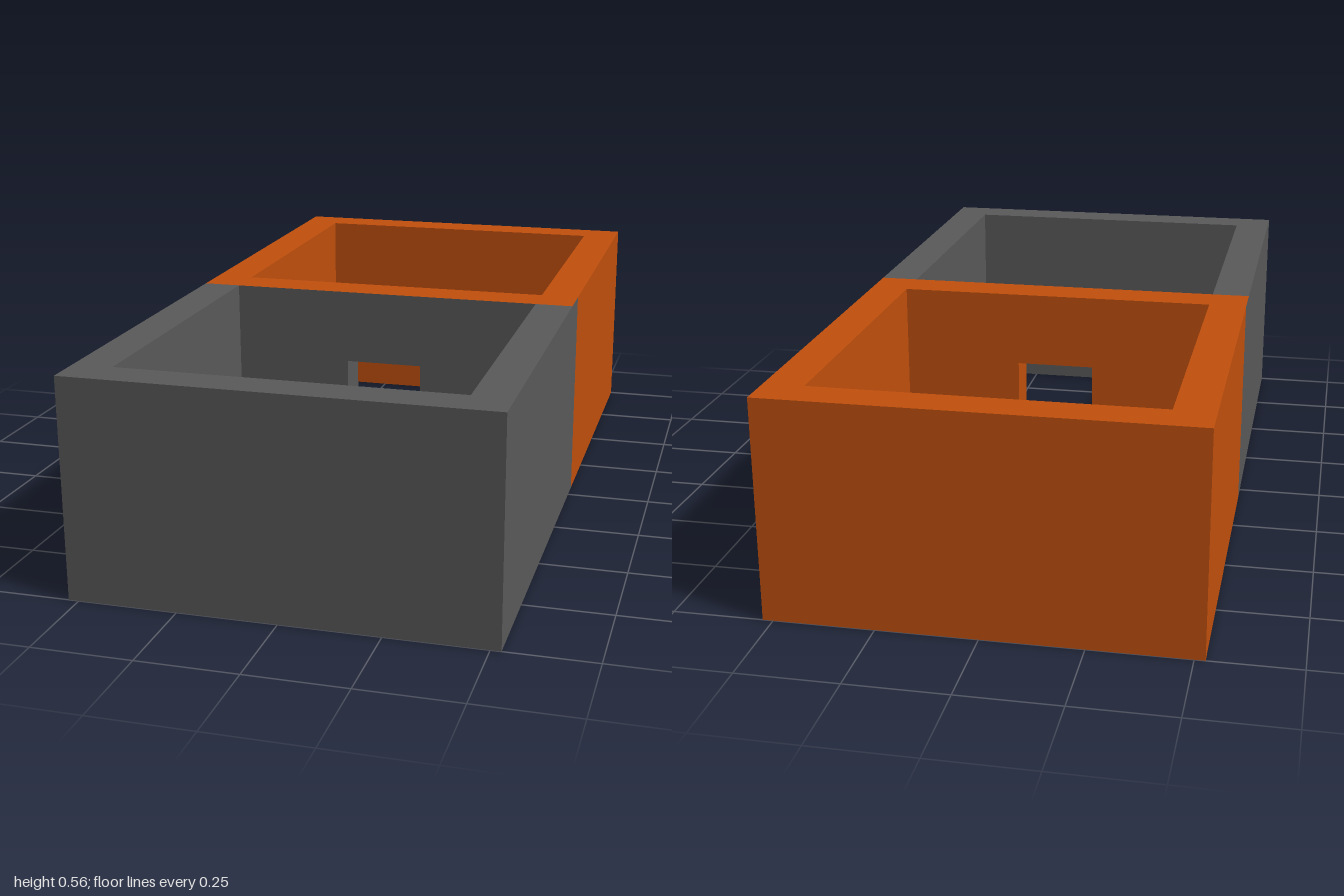
import * as THREE from 'three';

const W = 0.526;      // half width
const H = 0.56;       // wall height
const T = 0.1;        // wall thickness
const BACK = -0.055;  // dividing wall faces
const FRONT = 0.05;
const DOOR = 0.105;   // half door width
const DOOR_H = 0.36;

export function createModel() {
  const group = new THREE.Group();
  const grey = new THREE.MeshStandardMaterial({ color: 0x5a5a5a });
  grey.name = 'dark grey';
  const orange = new THREE.MeshStandardMaterial({ color: 0xc2500d });
  orange.name = 'burnt orange';

  // three outer walls of a room, as a U plan from the divider to the end
  function roomWalls(name, material, start, end) {
    const inner = end - Math.sign(end) * T;
    const plan = [
      [-W, start], [-W, end], [W, end], [W, start],
      [W - T, start], [W - T, inner], [T - W, inner], [T - W, start],
    ].map(([x, z]) => new THREE.Vector2(x, -z));
    const geometry = new THREE.ExtrudeGeometry(new THREE.Shape(plan), { depth: H, bevelEnabled: false });
    geometry.rotateX(-Math.PI / 2);
    const mesh = new THREE.Mesh(geometry, material);
    mesh.name = name;
    group.add(mesh);
  }
  roomWalls('frontRoomWalls', grey, FRONT, 1);
  roomWalls('backRoomWalls', orange, BACK, -1);

  // dividing wall pieces; materials in order +x, -x, top, bottom, front, back
  function divider(name, x0, x1, y0, materials) {
    const geometry = new THREE.BoxGeometry(x1 - x0, H - y0, FRONT - BACK);
    const mesh = new THREE.Mesh(geometry, materials);
    mesh.position.set((x0 + x1) / 2, (y0 + H) / 2, (FRONT + BACK) / 2);
    mesh.name = name;
    group.add(mesh);
  }
  divider('dividerLeft', DOOR, W, 0, [grey, orange, orange, grey, grey, orange]);
  divider('dividerRight', -W, -DOOR, 0, [grey, grey, orange, grey, grey, orange]);
  divider('doorLintel', -DOOR, DOOR, DOOR_H, [grey, grey, orange, orange, grey, orange]);

  return group;
}
